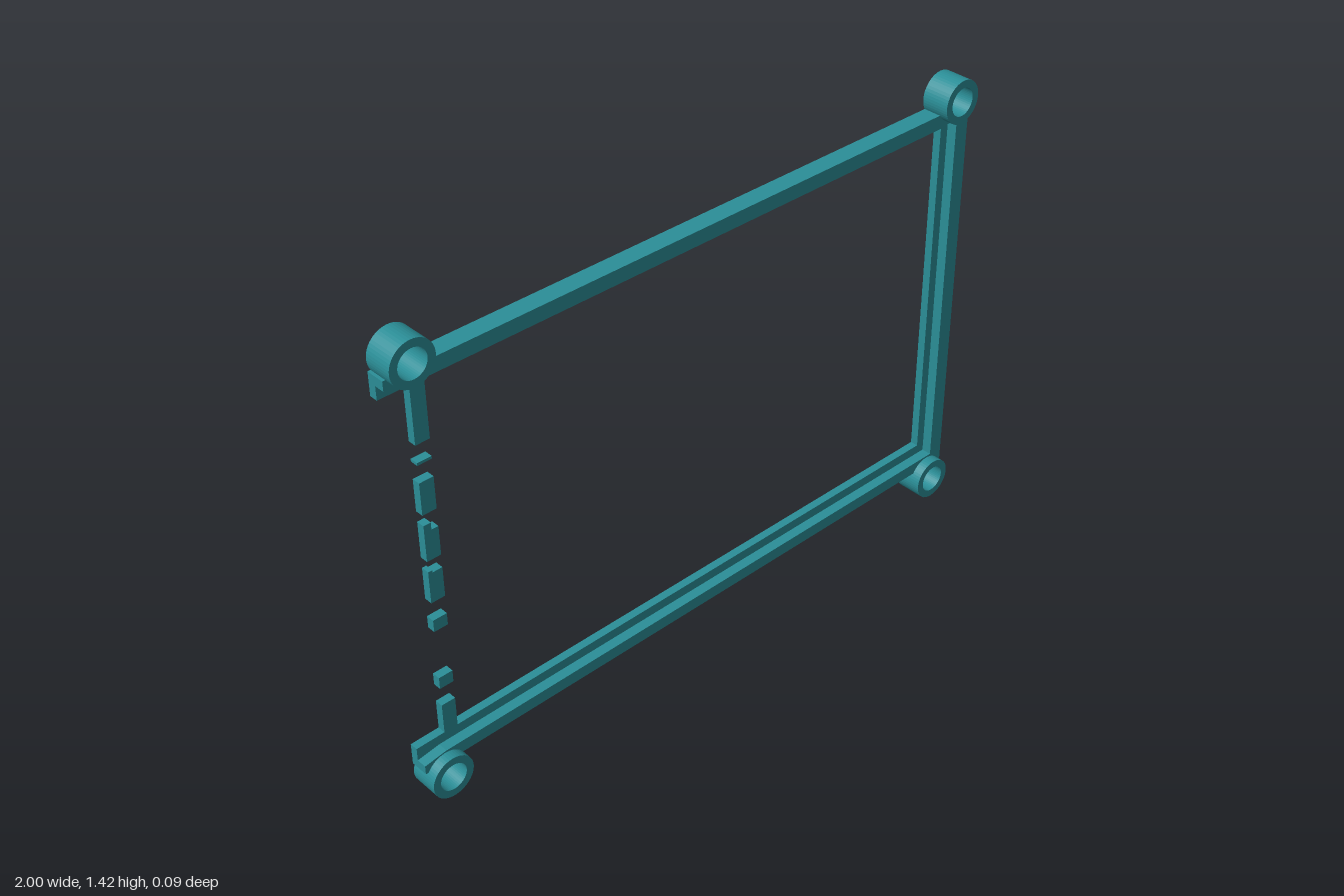
import * as THREE from 'three';

const MID = 1.425 / 2;            // height of the frame's centre line
const BACK = -0.043, FRONT = 0.043;
const LUG_X = 0.935, LUG_Y = 0.6475, LUG_R = 0.065, HOLE_R = 0.042;
const OUTER_Y = 0.615;

export function createModel() {
  const group = new THREE.Group();
  const teal = new THREE.MeshStandardMaterial({ color: 0x2b8f98 });
  teal.name = 'teal';

  function extrude(name, shape, z0, z1) {
    const geo = new THREE.ExtrudeGeometry(shape, { depth: z1 - z0, bevelEnabled: false, curveSegments: 24 });
    const mesh = new THREE.Mesh(geo, teal);
    mesh.name = name;
    mesh.position.set(0, MID, z0);
    group.add(mesh);
  }

  // C-shaped outline, open on the right-hand end, notched where the lug holes pass through
  function frameShape(innerX, innerY, endY) {
    const s = new THREE.Shape();
    const a = Math.asin((LUG_Y - OUTER_Y) / HOLE_R);
    s.moveTo(-1, endY);
    s.lineTo(-1, OUTER_Y);
    s.lineTo(-1, endY);
    s.curves.length = 0;
    s.moveTo(-1, endY);
    s.lineTo(-0.93, innerY);
    s.lineTo(innerX, innerY);
    s.lineTo(innerX, -innerY);
    s.lineTo(-0.93, -innerY);
    s.lineTo(-1, -endY);
    s.lineTo(-1, -OUTER_Y);
    for (const x of [-LUG_X, LUG_X]) s.absarc(x, -LUG_Y, HOLE_R, Math.PI - a, a, true);
    s.lineTo(1, -OUTER_Y);
    s.lineTo(1, OUTER_Y);
    for (const x of [LUG_X, -LUG_X]) s.absarc(x, LUG_Y, HOLE_R, -a, a - Math.PI, true);
    s.lineTo(-1, OUTER_Y);
    s.closePath();
    return s;
  }

  // wide back plate and narrower raised outer lip
  extrude('backPlate', frameShape(0.925, 0.547, 0.547), BACK, -0.018);
  extrude('outerLip', frameShape(0.953, 0.577, 0.587), -0.018, 0.013);

  // four corner screw lugs
  for (const sx of [-1, 1]) for (const sy of [-1, 1]) {
    const ring = new THREE.Shape();
    ring.absarc(sx * LUG_X, sy * LUG_Y, LUG_R, 0, Math.PI * 2, false);
    const hole = new THREE.Path();
    hole.absarc(sx * LUG_X, sy * LUG_Y, HOLE_R, 0, Math.PI * 2, true);
    ring.holes.push(hole);
    extrude('screwLug', ring, BACK, FRONT);
  }

  // broken inner strip: [bottom, top, left, right]
  const L = -0.91, R = -0.867;
  const pieces = [
    [0.16, 0.26, L, R], [0.318, 0.355, L, R], [0.511, 0.548, L, R],
    [0.605, 0.697, L, R], [0.697, 0.704, L, -0.897],
    [0.737, 0.826, L, R], [0.826, 0.848, L, -0.888],
    [0.88, 0.977, L, R], [1.029, 1.037, L, R], [1.088, 1.265, L, R],
  ];
  for (const [y0, y1, x0, x1] of pieces) {
    const mesh = new THREE.Mesh(new THREE.BoxGeometry(x1 - x0, y1 - y0, 0.025), teal);
    mesh.name = 'stripPiece';
    mesh.position.set((x0 + x1) / 2, (y0 + y1) / 2, BACK + 0.0125);
    group.add(mesh);
  }
  return group;
}
